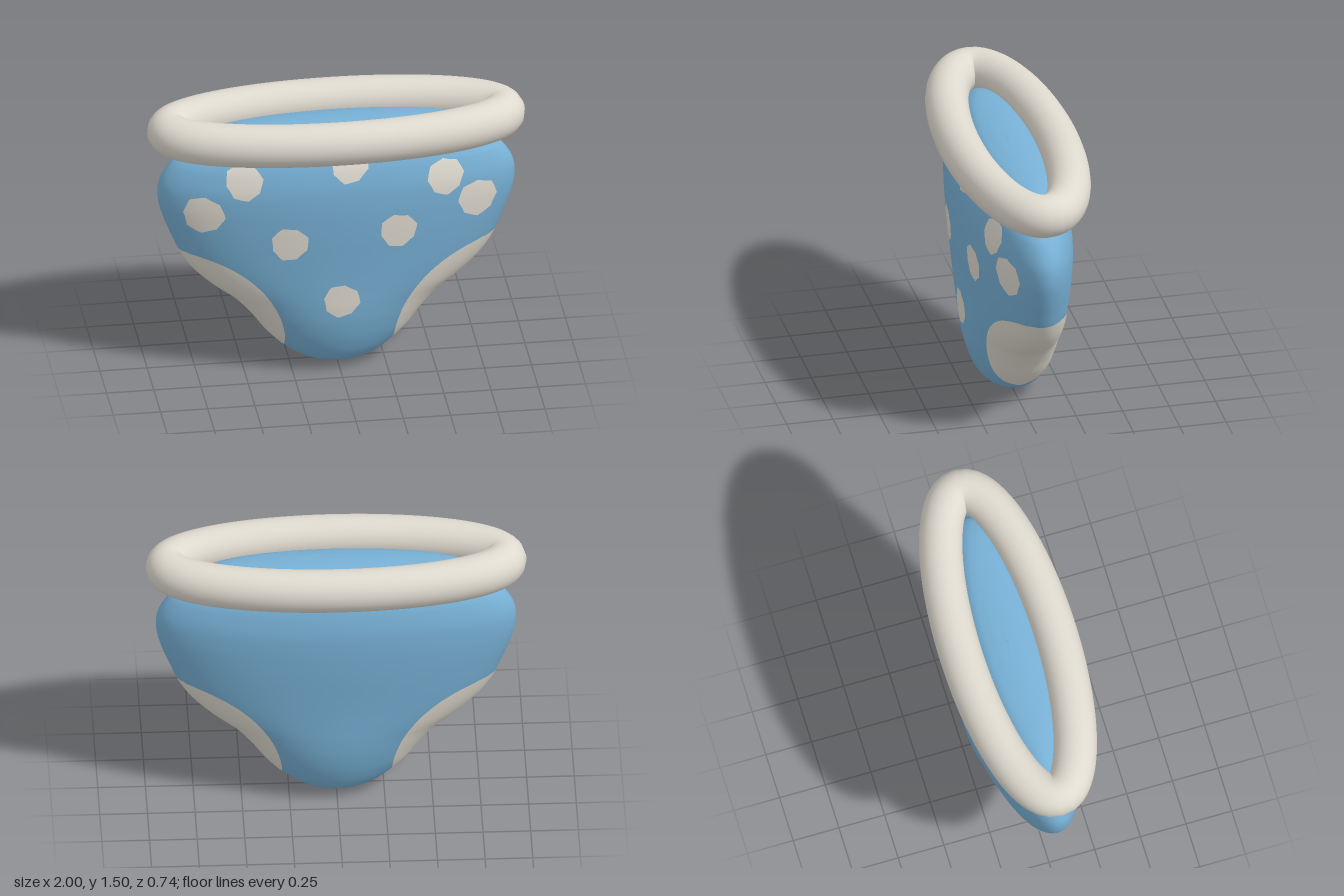
import * as THREE from 'three';
import { ParametricGeometry } from 'three/addons/geometries/ParametricGeometry.js';

// Body profile: half width, half depth, height
const profile = new THREE.CatmullRomCurve3([
  [0.002, 0.002, 0], [0.1, 0.07, 0.014], [0.19, 0.125, 0.045], [0.275, 0.175, 0.1],
  [0.375, 0.217, 0.2], [0.45, 0.24, 0.3], [0.54, 0.25, 0.4], [0.67, 0.253, 0.5],
  [0.77, 0.256, 0.6], [0.835, 0.261, 0.7], [0.88, 0.267, 0.8], [0.918, 0.271, 0.9],
  [0.943, 0.272, 1.0], [0.938, 0.266, 1.1], [0.88, 0.243, 1.2], [0.78, 0.213, 1.275],
  [0.74, 0.185, 1.34], [0.64, 0.14, 1.385], [0.35, 0.075, 1.41], [0.002, 0.002, 1.418],
].map((p) => new THREE.Vector3(...p)));

// Elliptical cross-section at a given height
function sectionAt(y) {
  let lo = 0, hi = 1;
  for (let i = 0; i < 30; i++) {
    const mid = (lo + hi) / 2;
    if (profile.getPoint(mid).z < y) lo = mid; else hi = mid;
  }
  return profile.getPoint(lo);
}

const LIFT = 0.004; // height of painted patches above the body

function bodyGeometry() {
  return new ParametricGeometry((u, v, out) => {
    const s = profile.getPoint(u), a = v * Math.PI * 2;
    out.set(s.x * Math.cos(a), s.z, s.y * Math.sin(a));
  }, 110, 112);
}

// Leg patch: the part of the body inside a round cut, wrapping front to back
function legGeometry(side) {
  return new ParametricGeometry((u, v, out) => {
    const y = 0.1 + 0.614 * u, s = sectionAt(y);
    const edge = 0.85 - Math.sqrt(Math.max(0, 0.565 ** 2 - (y - 0.15) ** 2));
    const limit = Math.acos(Math.min(edge / s.x, 0.9999));
    const a = side * (2 * v - 1) * limit;
    out.set(side * (s.x + LIFT) * Math.cos(a), y, (s.y + LIFT) * Math.sin(a));
  }, 50, 32);
}

// Uneven round spot laid on the front of the body
function spotGeometry(cx, cy, r, turn) {
  const sides = 8, step = (Math.PI * 2) / sides;
  return new ParametricGeometry((u, v, out) => {
    const a = v * Math.PI * 2;
    const local = (a % step) - step / 2;
    const wobble = 1 + 0.04 * Math.sin(3 * a + turn * 5);
    const rad = (0.005 + 0.995 * u) * r * wobble * Math.cos(step / 2) / Math.cos(local);
    const x = cx + rad * Math.cos(a + turn), y = cy + rad * Math.sin(a + turn);
    const s = sectionAt(y);
    out.set(x, y, s.y * Math.sqrt(Math.max(0, 1 - (x / s.x) ** 2)) + LIFT);
  }, 6, 40);
}

// Oval path of the waistband
class OvalPath extends THREE.Curve {
  getPoint(t, out = new THREE.Vector3()) {
    const a = t * Math.PI * 2;
    return out.set(0.886 * Math.cos(a), 1.388, 0.256 * Math.sin(a));
  }
}

export function createModel() {
  const blue = new THREE.MeshStandardMaterial({ color: 0x77b0d5 });
  blue.name = 'blue cloth';
  const cream = new THREE.MeshStandardMaterial({ color: 0xdfdacf });
  cream.name = 'cream trim';

  const model = new THREE.Group();
  model.name = 'spottedBriefs';
  const add = (name, geometry, material) => {
    const mesh = new THREE.Mesh(geometry, material);
    mesh.name = name;
    model.add(mesh);
  };

  add('body', bodyGeometry(), blue);
  add('waistband', new THREE.TubeGeometry(new OvalPath(), 128, 0.114, 28, true), cream);
  add('leftLegPatch', legGeometry(1), cream);
  add('rightLegPatch', legGeometry(-1), cream);

  // Spots on the front only: x, y, radius, rotation
  [
    [-0.515, 1.168, 0.099, 0.2], [0.04, 1.25, 0.102, 0.5], [0.55, 1.13, 0.1, 0.1],
    [-0.725, 0.975, 0.108, 0.7], [0.725, 0.975, 0.108, 0.0], [-0.28, 0.812, 0.1, 0.4],
    [0.295, 0.855, 0.1, 0.25], [-0.005, 0.455, 0.098, 0.6],
  ].forEach((s, i) => add(`spot${i + 1}`, spotGeometry(...s), cream));

  return model;
}
